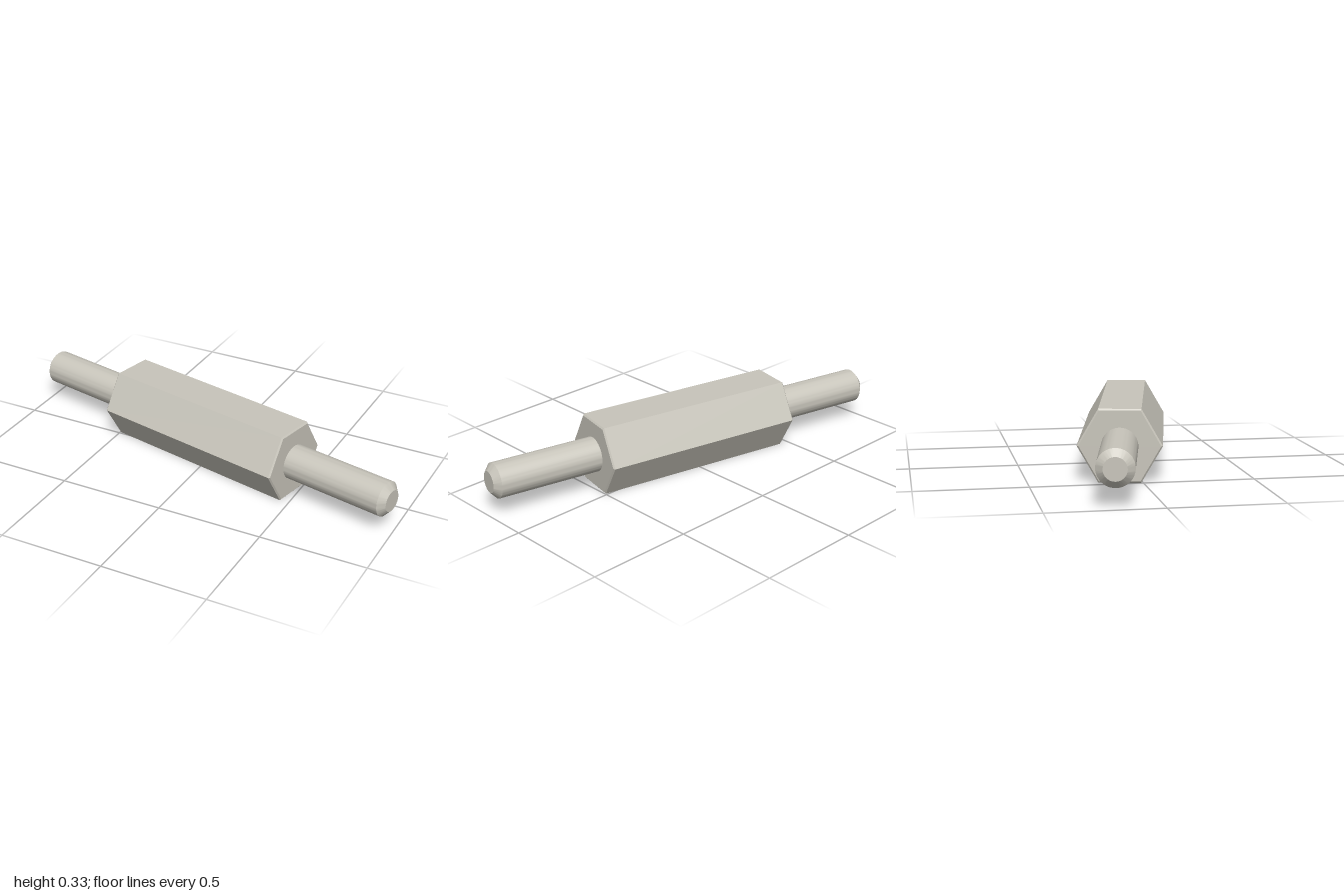
import * as THREE from 'three';
import { toCreasedNormals } from 'three/addons/utils/BufferGeometryUtils.js';

// Solid of revolution along +x from [radius, position] pairs, with crisp edges
function turned(profile, sides, crease) {
  const points = profile.map(([r, s]) => new THREE.Vector2(r, s));
  const geometry = new THREE.LatheGeometry(points, sides);
  geometry.rotateZ(-Math.PI / 2);
  return toCreasedNormals(geometry, crease);
}

export function createModel() {
  const metal = new THREE.MeshStandardMaterial({ color: 0xc8c5bb });
  metal.name = 'pale metal';

  const model = new THREE.Group();
  model.name = 'hexStandoff';

  // Hexagonal body with a fine bevel at both ends
  const across = 0.327; // distance between opposite flats
  const corner = across / Math.sqrt(3);
  const bevel = 0.008;
  const body = new THREE.Mesh(turned([
    [0, -0.492], [corner - bevel, -0.492], [corner, -0.486],
    [corner, 0.486], [corner - bevel, 0.492], [0, 0.492],
  ], 6, 0.1), metal);
  body.name = 'hexBody';
  model.add(body);

  // Round studs with chamfered tips
  const studGeometry = turned([
    [0, 0.47], [0.0815, 0.47], [0.0815, 0.984], [0.05, 1.0117], [0, 1.0117],
  ], 64, 0.5);
  for (const side of [1, -1]) {
    const stud = new THREE.Mesh(studGeometry, metal);
    stud.name = side > 0 ? 'leftStud' : 'rightStud';
    stud.rotation.y = side > 0 ? 0 : Math.PI;
    model.add(stud);
  }

  // Lies on a flat, turned slightly about the vertical
  model.position.y = across / 2;
  model.rotation.y = -THREE.MathUtils.degToRad(12);

  const root = new THREE.Group();
  root.name = 'standoff';
  root.add(model);
  return root;
}
